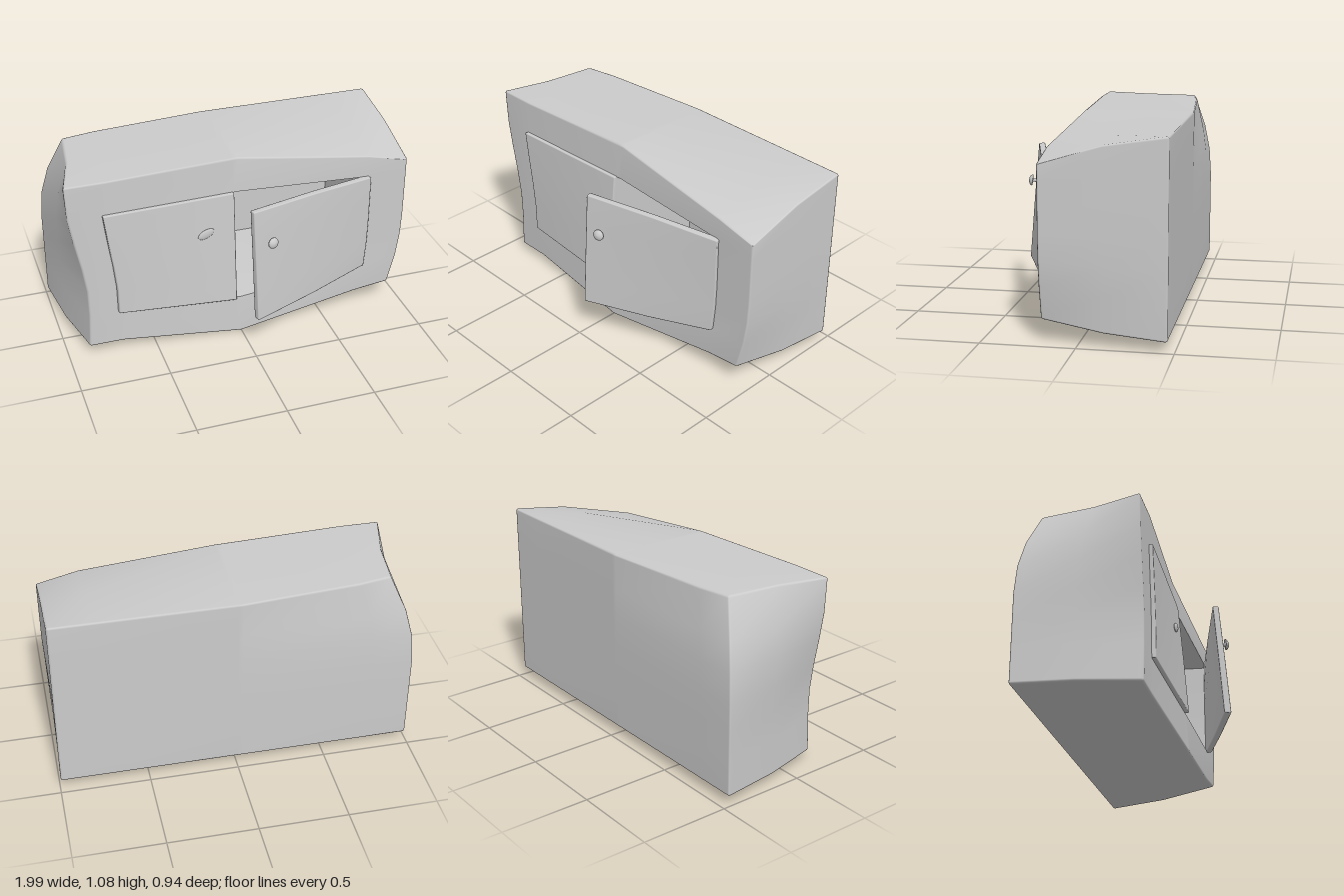
import * as THREE from 'three';
import { mergeVertices } from 'three/addons/utils/BufferGeometryUtils.js';

const material = new THREE.MeshStandardMaterial({ color: 0xcccccc });
const X = 0.995, Y0 = 0.055, Y1 = 1.085, BACK = -0.465, FRONT = 0.195;
const LEVELS = [0.42, 0.57, 0.73];

// Crooked cartoon distortion shared by the carcass, the recess and the doors
function warp(p) {
  const s = (p.y - 0.57) / 0.515;
  const side = Math.pow(Math.abs(p.x) / X, 1.7);
  const centre = Math.max(0, 1 - Math.abs(p.x) / 0.76);
  const f = Math.pow(Math.max(0, (p.z - BACK) / (FRONT - BACK)), 1.6);
  const top = Math.max(0, s), bottom = Math.max(0, -s);
  let dx = 0, dy = 0, dz = 0;
  if (p.x < 0) {
    const pinch = 1 - THREE.MathUtils.smoothstep(s, -0.5, 0.9);
    dx = side * (f * (0.028 + 0.1 * pinch - 0.012 * bottom ** 3) + (1 - f) * 0.14 * top ** 2);
    dz = side * (1 - f) * 0.095 * top ** 2;
  } else {
    dx = -side * f * 0.07 * bottom ** 2;
    dy = side * f * (-0.155 * top ** 3 + 0.07 * bottom);
  }
  dy -= 0.055 * centre * f * bottom;
  dz -= 0.045 * s * centre * f;
  return p.add(new THREE.Vector3(dx, dy, dz));
}

// Warped box on chosen grid lines with edges rounded by r; skip(c) drops faces by their centre
function warpedBox(xs, ys, zs, r, skip = () => false, inward = false) {
  const lines = [xs, ys, zs].map(a =>
    r ? [a[0], a[0] + r, ...a.slice(1, -1), a[a.length - 1] - r, a[a.length - 1]] : a);
  const n = lines.map(a => a.length - 1);
  let geo = new THREE.BoxGeometry(1, 1, 1, ...n);
  geo.deleteAttribute('uv');
  if (r) {
    geo.deleteAttribute('normal');
    geo = mergeVertices(geo);
  }
  const pos = geo.attributes.position, points = [];
  for (let i = 0; i < pos.count; i++) {
    const at = k => lines[k][Math.round((pos.getComponent(i, k) + 0.5) * n[k])];
    points.push(new THREE.Vector3(at(0), at(1), at(2)));
  }
  const index = [];
  for (let i = 0; i < geo.index.count; i += 3) {
    const [a, b, c] = [0, 1, 2].map(k => geo.index.getX(i + k));
    const mid = points[a].clone().add(points[b]).add(points[c]).divideScalar(3);
    if (!skip(mid)) index.push(...(inward ? [a, c, b] : [a, b, c]));
  }
  geo.setIndex(index);
  const low = new THREE.Vector3(xs[0] + r, ys[0] + r, zs[0] + r);
  const high = new THREE.Vector3(xs.at(-1) - r, ys.at(-1) - r, zs.at(-1) - r);
  points.forEach((p, i) => {
    if (r) {
      const inner = p.clone().clamp(low, high);
      p.sub(inner).setLength(r).add(inner);
    }
    warp(p);
    pos.setXYZ(i, p.x, p.y, p.z);
  });
  geo.computeVertexNormals();
  return geo;
}

function part(name, geo, parent) {
  const mesh = new THREE.Mesh(geo, material);
  mesh.name = name;
  parent.add(mesh);
  return mesh;
}

export function createModel() {
  const group = new THREE.Group();
  group.name = 'crookedCabinet';

  // Carcass with an opening behind the right-hand door
  const hole = { x0: -0.03, x1: 0.76, y0: 0.26, y1: 0.885 };
  const inHole = c => c.z > FRONT - 1e-4 && c.x > hole.x0 && c.x < hole.x1 && c.y > hole.y0 && c.y < hole.y1;
  part('carcass', warpedBox([-X, -0.76, hole.x0, 0, hole.x1, X],
    [Y0, hole.y0, ...LEVELS, hole.y1, Y1], [BACK, -0.135, FRONT], 0.012, inHole), group);
  part('recess', warpedBox([hole.x0, 0, hole.x1], [hole.y0, ...LEVELS, hole.y1],
    [-0.42, -0.135, FRONT], 0, c => c.z > FRONT - 1e-4, true), group);

  // Closed door
  const doorZ = [0.18, 0.217], doorY = [0.257, ...LEVELS, 0.888];
  part('closedDoor', warpedBox([-0.795, -0.4, -0.03], doorY, doorZ, 0.006), group);
  const flat = part('closedDoorKnob', new THREE.SphereGeometry(1, 24, 12), group);
  flat.scale.set(0.05, 0.026, 0.008);
  flat.position.set(-0.2, 0.675, 0.212);
  flat.rotation.z = 0.45;

  // Open door swinging on its outer edge
  const hinge = new THREE.Group();
  hinge.name = 'openDoor';
  hinge.position.set(0.76, 0, 0.195);
  hinge.rotation.y = 0.297;
  group.add(hinge);
  const panel = part('openDoorPanel', warpedBox([-0.03, 0.38, 0.765], doorY, doorZ, 0.006), hinge);
  panel.position.set(-0.76, 0, -0.195);

  // Mushroom knob on the open door
  const knob = part('openDoorKnob', new THREE.LatheGeometry([
    [0, -0.04], [0.009, -0.04], [0.009, 0], [0.032, 0.001], [0.031, 0.007],
    [0.025, 0.014], [0.014, 0.02], [0, 0.022]
  ].map(([x, y]) => new THREE.Vector2(x, y)), 24), hinge);
  knob.position.set(-0.692, 0.69, 0.037);
  knob.rotation.x = Math.PI / 2 - 0.15;

  return group;
}
